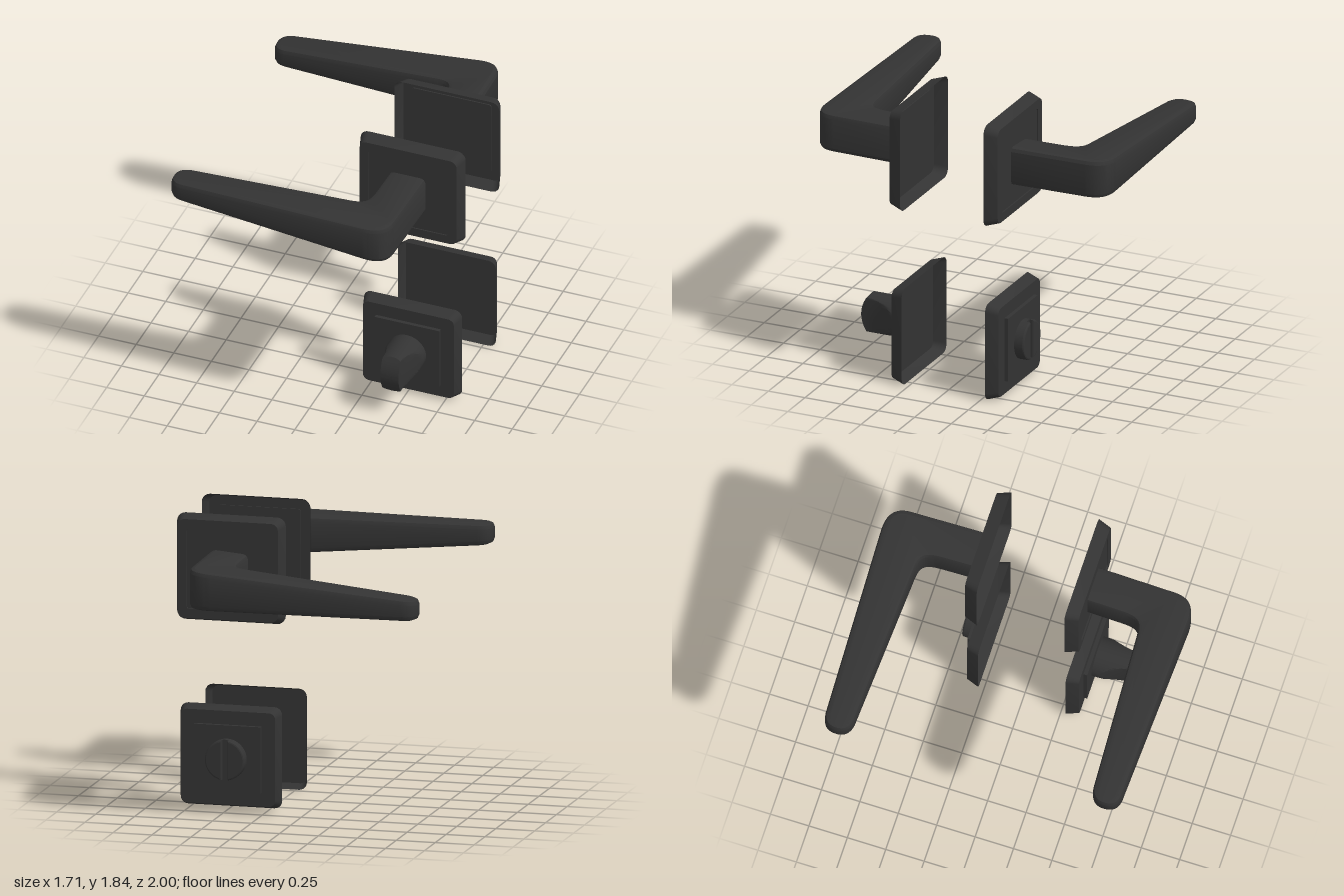
import * as THREE from 'three';
import { toCreasedNormals } from 'three/addons/utils/BufferGeometryUtils.js';

const material = new THREE.MeshStandardMaterial({ color: 0x333333 });
const shellMaterial = new THREE.MeshStandardMaterial({ color: 0x333333, side: THREE.DoubleSide });

function addMesh(group, name, geometry, mat = material) {
  const mesh = new THREE.Mesh(geometry, mat);
  mesh.name = name;
  group.add(mesh);
  return mesh;
}

// Skin a list of equal-length rings (counter-clockwise from +z), closed by a fan
function loft(rings, crease = 0.5) {
  const n = rings[0].length;
  const last = rings[rings.length - 1];
  const centre = [0, 1, 2].map((k) => last.reduce((sum, p) => sum + p[k], 0) / n);
  const index = [];
  rings.forEach((ring, i) => {
    for (let j = 0; j < n; j++) {
      const a = i * n + j, b = i * n + (j + 1) % n;
      if (i < rings.length - 1) index.push(a, b, b + n, a, b + n, a + n);
      else index.push(a, b, rings.length * n);
    }
  });
  const geometry = new THREE.BufferGeometry();
  geometry.setAttribute('position', new THREE.Float32BufferAttribute([...rings.flat(2), ...centre], 3));
  geometry.setIndex(index);
  return toCreasedNormals(geometry, crease);
}

// Rounded rectangle with half sizes w, h and corner radius r
function roundedRing(w, h, r, z) {
  const points = [], steps = 5;
  [[1, 1], [-1, 1], [-1, -1], [1, -1]].forEach(([sx, sy], q) => {
    for (let i = 0; i <= steps; i++) {
      const a = (q + i / steps) * Math.PI / 2;
      points.push([sx * (w - r) + r * Math.cos(a), sy * (h - r) + r * Math.sin(a), z]);
    }
  });
  return points;
}

// L-shaped lever: outline in plan, chamfered, with a sloping underside
function leverGeometry() {
  const s = new THREE.Shape();
  s.moveTo(0.38, -0.33);
  s.lineTo(0.375, -0.58);
  s.bezierCurveTo(0.372, -0.68, 0.36, -0.715, 0.27, -0.722);
  s.lineTo(-0.77, -0.777);
  s.bezierCurveTo(-0.83, -0.785, -0.858, -0.82, -0.858, -0.87);
  s.bezierCurveTo(-0.858, -0.93, -0.83, -0.96, -0.77, -0.965);
  s.lineTo(0.45, -1.0);
  s.bezierCurveTo(0.56, -1.0, 0.605, -0.95, 0.608, -0.86);
  s.lineTo(0.618, -0.33);
  s.closePath();
  const chamfer = 0.03, half = 0.128;
  const geometry = new THREE.ExtrudeGeometry(s, {
    depth: 2 * (half - chamfer), bevelThickness: chamfer, bevelSize: chamfer,
    bevelOffset: -chamfer, bevelSegments: 2, curveSegments: 10,
  });
  geometry.rotateX(-Math.PI / 2).translate(0, chamfer - half, 0);
  const p = geometry.attributes.position;
  for (let i = 0; i < p.count; i++) {
    const slope = 0.128 * (0.618 - p.getX(i)) / 1.476;
    if (p.getY(i) < 0) p.setY(i, p.getY(i) + slope);
    p.setZ(i, Math.max(p.getZ(i), 0.362)); // neck ends flush in the rose
  }
  return toCreasedNormals(geometry, 0.4);
}

// Thumb turn: round stem pinched to a blade with a curved end
function thumbTurnGeometry() {
  const r = 0.127, n = 64;
  const ring = (t, scale = 1) => {
    const u = Math.max(0, (t - 0.17) / 0.83);
    const w = 0.06 + 0.067 * (1 - u) ** 2;
    return Array.from({ length: n }, (_, j) => {
      const a = 2 * Math.PI * j / n;
      const x = THREE.MathUtils.clamp(r * Math.cos(a), -w, w) * scale;
      const y = r * Math.sin(a) * scale;
      return [x, y, 0.385 + t * (0.302 - 0.045 * (y / r) ** 2)];
    });
  };
  const rings = [];
  for (let i = 0; i <= 12; i++) rings.push(ring(i / 12));
  for (const scale of [0.8, 0.6, 0.4, 0.2]) rings.push(ring(1, scale));
  return loft(rings, 0.45);
}

// Release button: disc with two raised segments either side of a slot
function addReleaseButton(group) {
  const r = 0.127, gap = 0.02, bevel = 0.01;
  const base = new THREE.CylinderGeometry(r, r, 0.04, 48).rotateX(Math.PI / 2);
  addMesh(group, 'releaseButtonBase', base).position.set(0, 0, 0.405);
  const a = Math.acos(gap / r);
  const half = new THREE.Shape().absarc(0, 0, r, -a, a, false);
  for (const side of [0, 1]) {
    const geometry = new THREE.ExtrudeGeometry(half, {
      depth: 0.025, bevelThickness: bevel, bevelSize: bevel, bevelOffset: -bevel,
      bevelSegments: 2, curveSegments: 28,
    });
    const mesh = addMesh(group, 'releaseButtonHalf', toCreasedNormals(geometry, 0.35));
    mesh.position.z = 0.42;
    mesh.rotation.z = side * Math.PI;
  }
}

// Lever set: hollow tapered rose with a shallow square recess, plus lever
function leverSet(name) {
  const group = new THREE.Group();
  group.name = name;
  addMesh(group, 'leverRose', loft([
    roundedRing(0.349, 0.337, 0.055, 0.285),
    roundedRing(0.322, 0.312, 0.045, 0.37),
    roundedRing(0.264, 0.254, 0.015, 0.37),
    roundedRing(0.264, 0.254, 0.015, 0.362),
  ]), shellMaterial).position.x = 0.507;
  addMesh(group, 'lever', leverGeometry());
  group.position.y = 1.504;
  return group;
}

// Lock set: hollow tapered rose with a raised square plate
function lockSet(name) {
  const group = new THREE.Group();
  group.name = name;
  addMesh(group, 'lockRose', loft([
    roundedRing(0.326, 0.32, 0.05, 0.285),
    roundedRing(0.302, 0.296, 0.04, 0.365),
  ]), shellMaterial);
  addMesh(group, 'lockPlate', new THREE.BoxGeometry(0.43, 0.42, 0.024)).position.z = 0.378;
  group.position.set(0.507, 0.32, 0);
  return group;
}

export function createModel() {
  const model = new THREE.Group();
  model.name = 'doorHandleSet';

  const frontLever = leverSet('frontLeverSet');
  const rearLever = leverSet('rearLeverSet');
  rearLever.rotation.x = Math.PI;

  const frontLock = lockSet('frontLockSet');
  addMesh(frontLock, 'thumbTurn', thumbTurnGeometry());
  const rearLock = lockSet('rearLockSet');
  addReleaseButton(rearLock);
  rearLock.rotation.x = Math.PI;

  model.add(frontLever, rearLever, frontLock, rearLock);
  return model;
}
